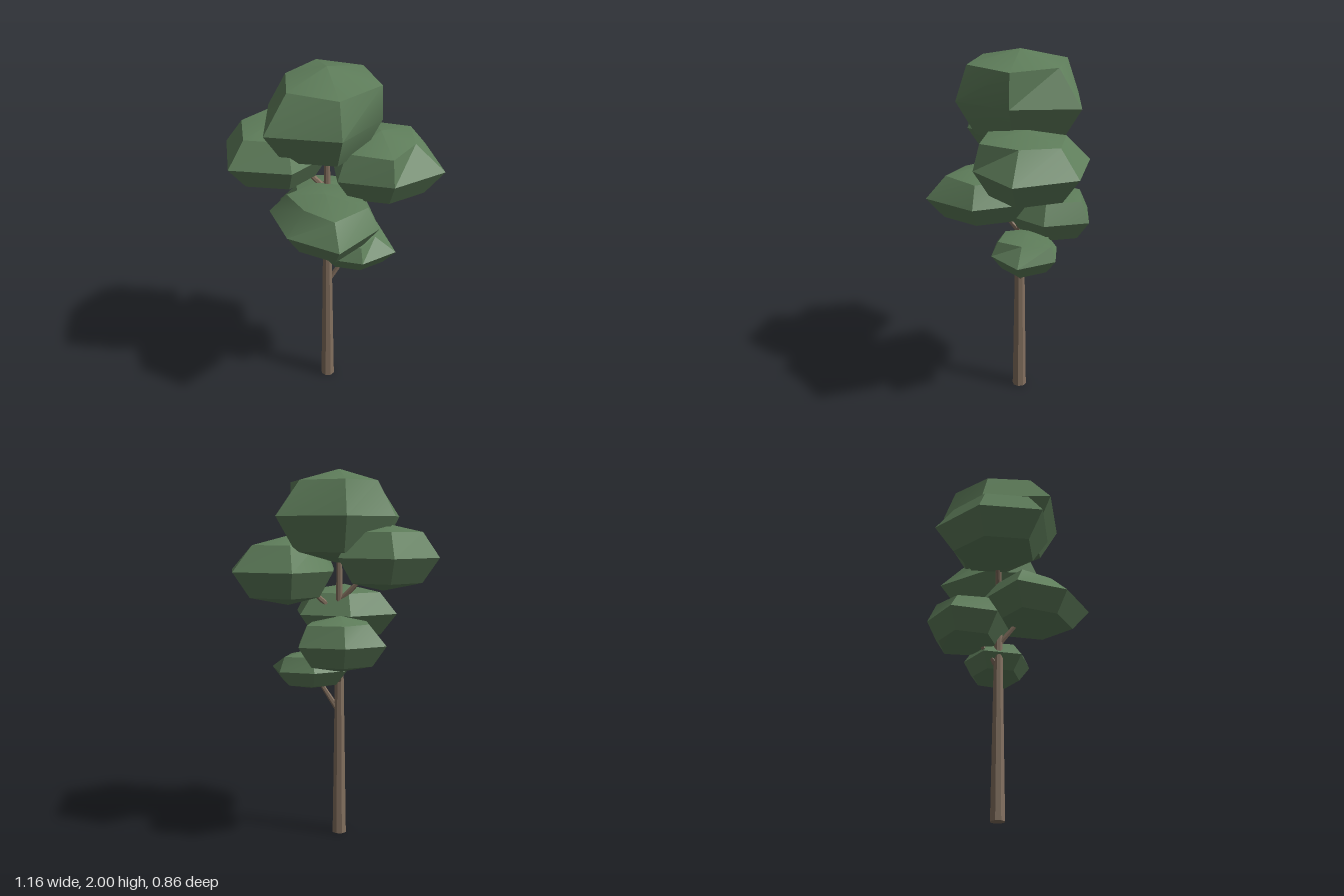
import * as THREE from 'three';
import { toCreasedNormals } from 'three/addons/utils/BufferGeometryUtils.js';

const leafGreen = new THREE.MeshStandardMaterial({ name: 'leafGreen', color: 0x5f7e5b });
const barkBrown = new THREE.MeshStandardMaterial({ name: 'barkBrown', color: 0x83705f });

const SIDES = 6;
const TRUNK = -0.04; // x and z of the trunk axis
const EVEN = Array(SIDES).fill(0.7);

// Faceted six-sided foliage clump. radii: corners of the widest ring, from +x round through +z;
// upper: share of each radius kept by the ring above.
function clump(name, center, halfHeight, radii, upper = EVEN) {
  const rings = [[0.74, upper], [0, EVEN.map(() => 1)], [-0.74, EVEN]];
  const positions = [0, halfHeight, 0];
  for (const [level, scales] of rings) {
    radii.forEach((radius, i) => {
      const angle = (i / SIDES) * Math.PI * 2, r = radius * scales[i];
      positions.push(Math.cos(angle) * r, level * halfHeight, Math.sin(angle) * r);
    });
  }
  positions.push(0, -halfHeight, 0);

  const at = (ring, i) => 1 + ring * SIDES + (i % SIDES);
  const index = [];
  for (let i = 0; i < SIDES; i++) {
    index.push(0, at(0, i + 1), at(0, i));
    for (let r = 0; r < 2; r++) {
      const a = at(r, i), b = at(r, i + 1), c = at(r + 1, i + 1), d = at(r + 1, i);
      index.push(a, b, c, a, c, d);
    }
    index.push(at(3, 0), at(2, i), at(2, i + 1));
  }
  const geometry = new THREE.BufferGeometry();
  geometry.setAttribute('position', new THREE.Float32BufferAttribute(positions, 3));
  geometry.setIndex(index);
  const mesh = new THREE.Mesh(toCreasedNormals(geometry, 0.45), leafGreen);
  mesh.name = name;
  mesh.position.set(...center);
  return mesh;
}

// Tapered limb between two points
function limb(name, from, to, r0, r1, sides) {
  const axis = to.clone().sub(from);
  const geometry = new THREE.CylinderGeometry(r1, r0, axis.length(), sides);
  const mesh = new THREE.Mesh(toCreasedNormals(geometry, 0.45), barkBrown);
  mesh.name = name;
  mesh.position.copy(from).add(to).multiplyScalar(0.5);
  mesh.quaternion.setFromUnitVectors(new THREE.Vector3(0, 1, 0), axis.normalize());
  return mesh;
}

export function createModel() {
  const tree = new THREE.Group();
  tree.name = 'tree';
  const onTrunk = (y) => new THREE.Vector3(TRUNK, y, TRUNK);

  // Trunk and crown
  tree.add(limb('trunk', onTrunk(0), onTrunk(1.65), 0.04, 0.014, 8));
  tree.add(clump('crownClump', [-0.04, 1.75, -0.04], 0.25,
    [0.295, 0.353, 0.42, 0.32, 0.327, 0.406], [0.98, 0.82, 0.63, 0.69, 0.8, 0.63]));

  // Clumps around the trunk, each carried by a branch
  const sideClumps = [
    clump('upperRightClump', [-0.27, 1.535, 0.02], 0.18,
      [0.26, 0.29, 0.354, 0.315, 0.345, 0.3]),
    clump('upperLeftClump', [0.23, 1.46, -0.12], 0.188,
      [0.35, 0.28, 0.31, 0.27, 0.355, 0.347], [0.53, 0.87, 0.8, 0.65, 0.62, 0.65]),
    clump('frontClump', [0.01, 1.22, 0.145], 0.158,
      [0.295, 0.33, 0.265, 0.315, 0.29, 0.3], [0.78, 0.66, 0.55, 0.68, 0.7, 0.7]),
    clump('backClump', [-0.115, 1.085, -0.2], 0.148,
      [0.235, 0.24, 0.25, 0.26, 0.22, 0.266], [0.7, 0.7, 0.7, 0.62, 0.78, 0.8]),
    clump('lowClump', [0.1, 0.925, -0.1], 0.107,
      [0.24, 0.197, 0.21, 0.21, 0.18, 0.207], [0.5, 0.8, 0.7, 0.65, 0.7, 0.85]),
  ];
  for (const mesh of sideClumps) {
    const branch = mesh.name.replace('Clump', 'Branch');
    tree.add(mesh, limb(branch, onTrunk(mesh.position.y - 0.24), mesh.position, 0.016, 0.009, 6));
  }
  return tree;
}
